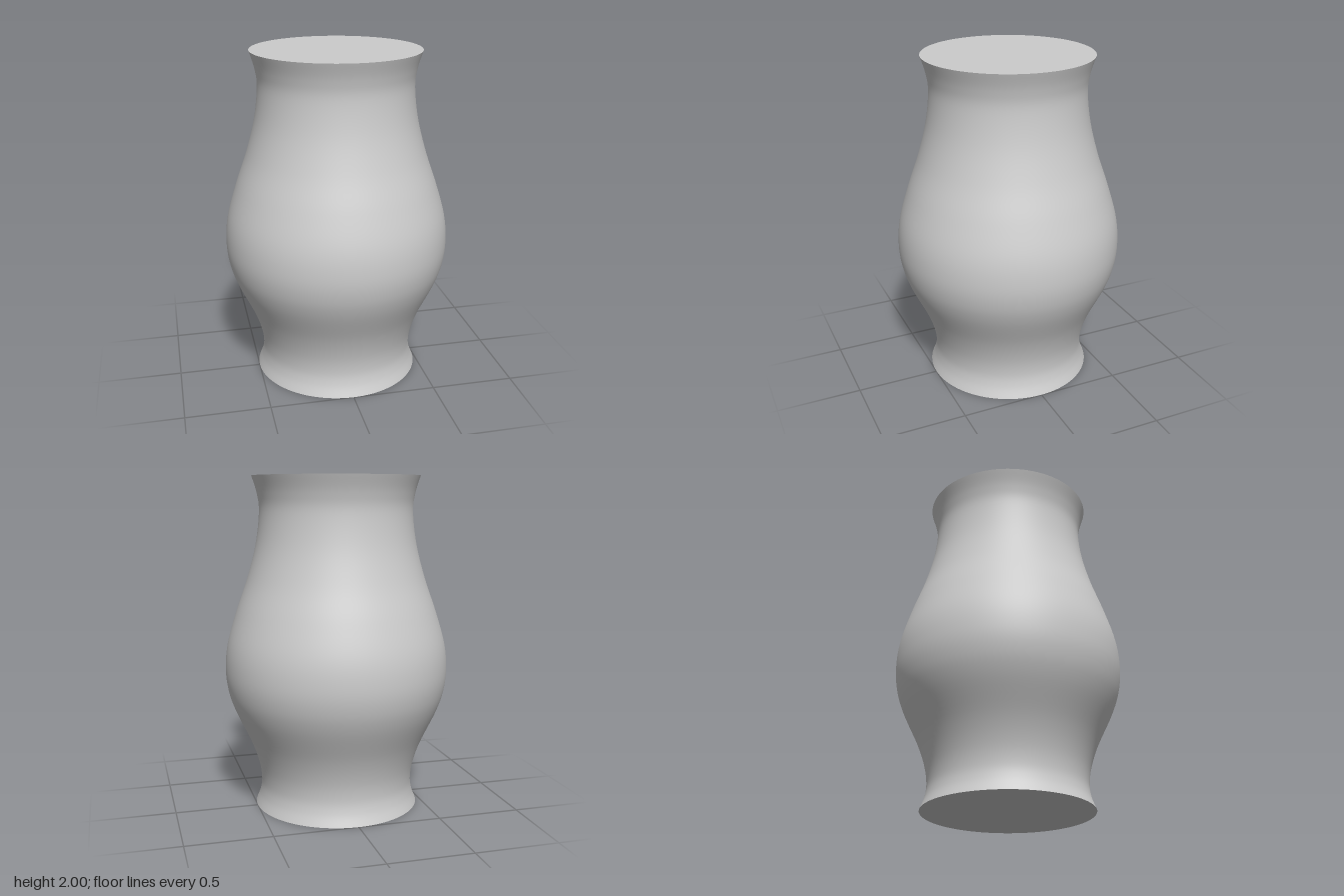
import * as THREE from 'three';

export function createModel() {
  const group = new THREE.Group();
  const grey = new THREE.MeshStandardMaterial({ color: 0xcccccc });
  grey.name = 'light grey';

  // Turned body: radius and height along a smooth curve
  const profile = new THREE.SplineCurve([
    [0.5, 0], [0.474, 0.07], [0.464, 0.15], [0.479, 0.26], [0.526, 0.4], [0.62, 0.6],
    [0.661, 0.73], [0.673, 0.86], [0.657, 1.01], [0.602, 1.2], [0.533, 1.4],
    [0.481, 1.6], [0.458, 1.79], [0.47, 1.9], [0.5, 2],
  ].map(([r, y]) => new THREE.Vector2(r, y)));
  const body = new THREE.Mesh(new THREE.LatheGeometry(profile.getPoints(84), 96), grey);
  body.name = 'body';
  group.add(body);

  // Flat closed ends
  const addCap = (name, y, tilt) => {
    const cap = new THREE.Mesh(new THREE.CircleGeometry(0.5, 96), grey);
    cap.name = name;
    cap.position.y = y;
    cap.rotation.x = tilt;
    group.add(cap);
  };
  addCap('topCap', 2, -Math.PI / 2);
  addCap('bottomCap', 0, Math.PI / 2);

  return group;
}
